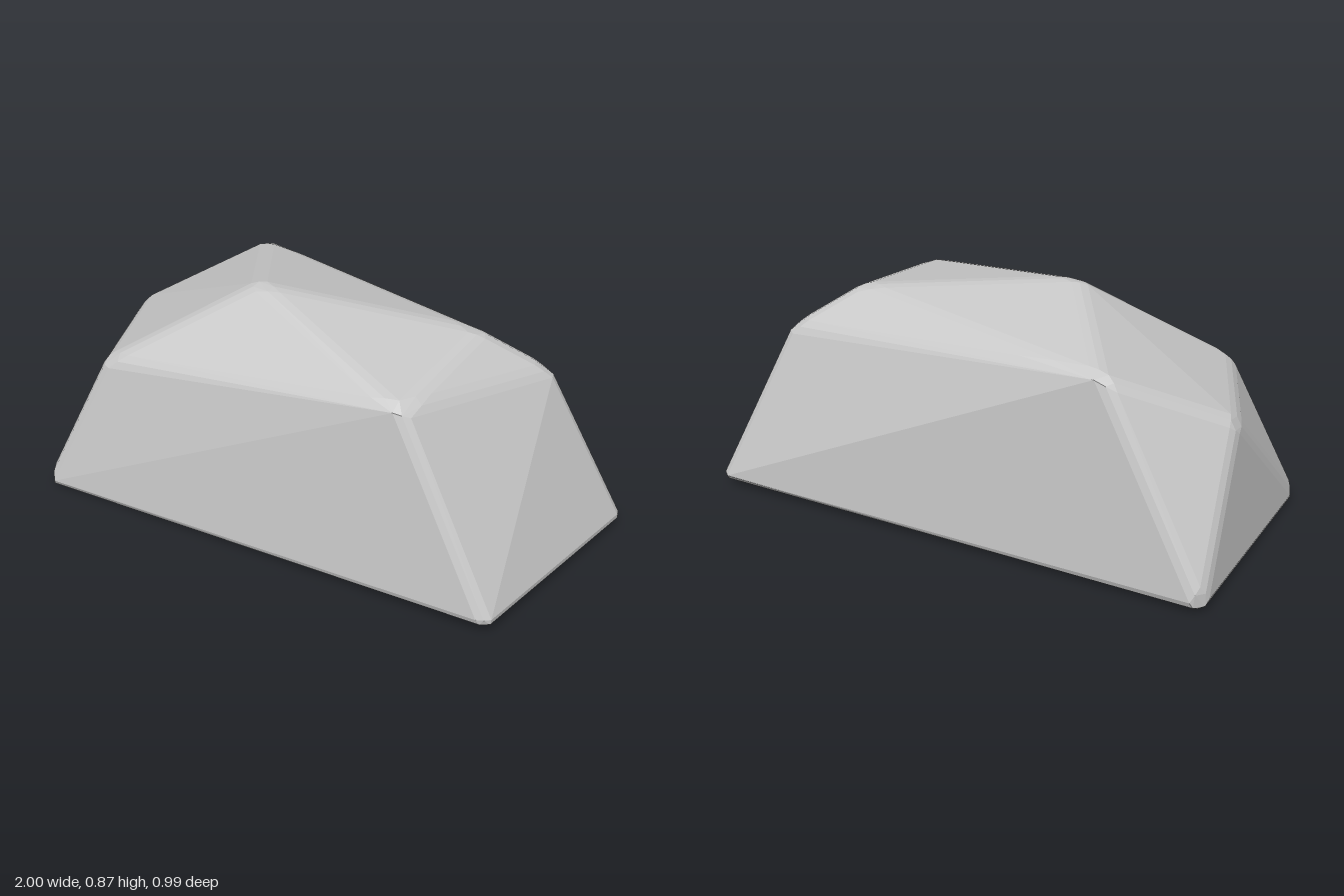
import * as THREE from 'three';
import { ConvexGeometry } from 'three/addons/geometries/ConvexGeometry.js';

const BEVEL = 0.03;

// Sharp corners of the boulder before bevelling
const CORNERS = [
  // foot
  [-1.005, 0, 0.445], [0.83, 0.045, 0.5], [1.02, 0.03, -0.33], [-0.91, 0.015, -0.5],
  // shoulders
  [0.455, 0.742, 0.42], [0.745, 0.65, -0.205], [-0.745, 0.565, 0.35], [-0.9, 0.55, -0.15],
  // crown
  [-0.25, 0.875, 0.09], [0.515, 0.8, -0.09], [-0.52, 0.757, -0.435],
].map((c) => new THREE.Vector3(...c));

const SHARP = 0.95; // edges flatter than this cosine stay unbevelled

// Convex hull whose sharp edges are cut back by an even width, in two narrow facets
function bevelledHull(corners, width) {
  const pos = new ConvexGeometry(corners).attributes.position;
  const key = (v) => v.toArray().map((n) => n.toFixed(3)).join();
  const edgeKey = (a, b) => [key(a), key(b)].sort().join('|');

  const faces = [];
  const normals = new Map();
  for (let i = 0; i < pos.count; i += 3) {
    const tri = [0, 1, 2].map((k) => new THREE.Vector3().fromBufferAttribute(pos, i + k));
    const normal = new THREE.Triangle(...tri).getNormal(new THREE.Vector3());
    faces.push(tri);
    tri.forEach((a, k) => {
      const id = edgeKey(a, tri[(k + 1) % 3]);
      normals.set(id, [...(normals.get(id) ?? []), normal]);
    });
  }
  const isSharp = (a, b) => {
    const [m, n] = normals.get(edgeKey(a, b));
    return m.dot(n) < SHARP;
  };

  const points = [];
  const ends = new Map();
  for (const tri of faces) {
    tri.forEach((v, k) => {
      const a = tri[(k + 1) % 3];
      const b = tri[(k + 2) % 3];
      const sharpA = isSharp(v, a);
      const sharpB = isSharp(v, b);
      if (!sharpA && !sharpB) return;

      // Slide the face corner away from its sharp edges
      const toA = a.clone().sub(v).normalize();
      const toB = b.clone().sub(v).normalize();
      const slide = width / Math.sin(toA.angleTo(toB));
      const p = v.clone();
      if (sharpA) p.addScaledVector(toB, slide);
      if (sharpB) p.addScaledVector(toA, slide);
      points.push(p);

      // Middle line of the bevel, between the two faces of an edge
      for (const [end, dir, sharp] of [[a, toA, sharpA], [b, toB, sharpB]]) {
        if (!sharp) continue;
        const id = key(v) + '>' + key(end);
        if (ends.has(id)) {
          const mid = p.clone().add(ends.get(id)).multiplyScalar(0.5);
          const along = mid.clone().sub(v).dot(dir);
          points.push(mid.lerp(v.clone().addScaledVector(dir, along), 0.4));
        }
        ends.set(id, p);
      }
    });
  }
  return new ConvexGeometry(points);
}

export function createModel() {
  const group = new THREE.Group();
  group.name = 'boulder';
  const stone = new THREE.MeshStandardMaterial({ color: 0xc8c8c8 });
  stone.name = 'light grey stone';

  const rock = new THREE.Mesh(bevelledHull(CORNERS, BEVEL), stone);
  rock.name = 'rock';
  group.add(rock);
  return group;
}
